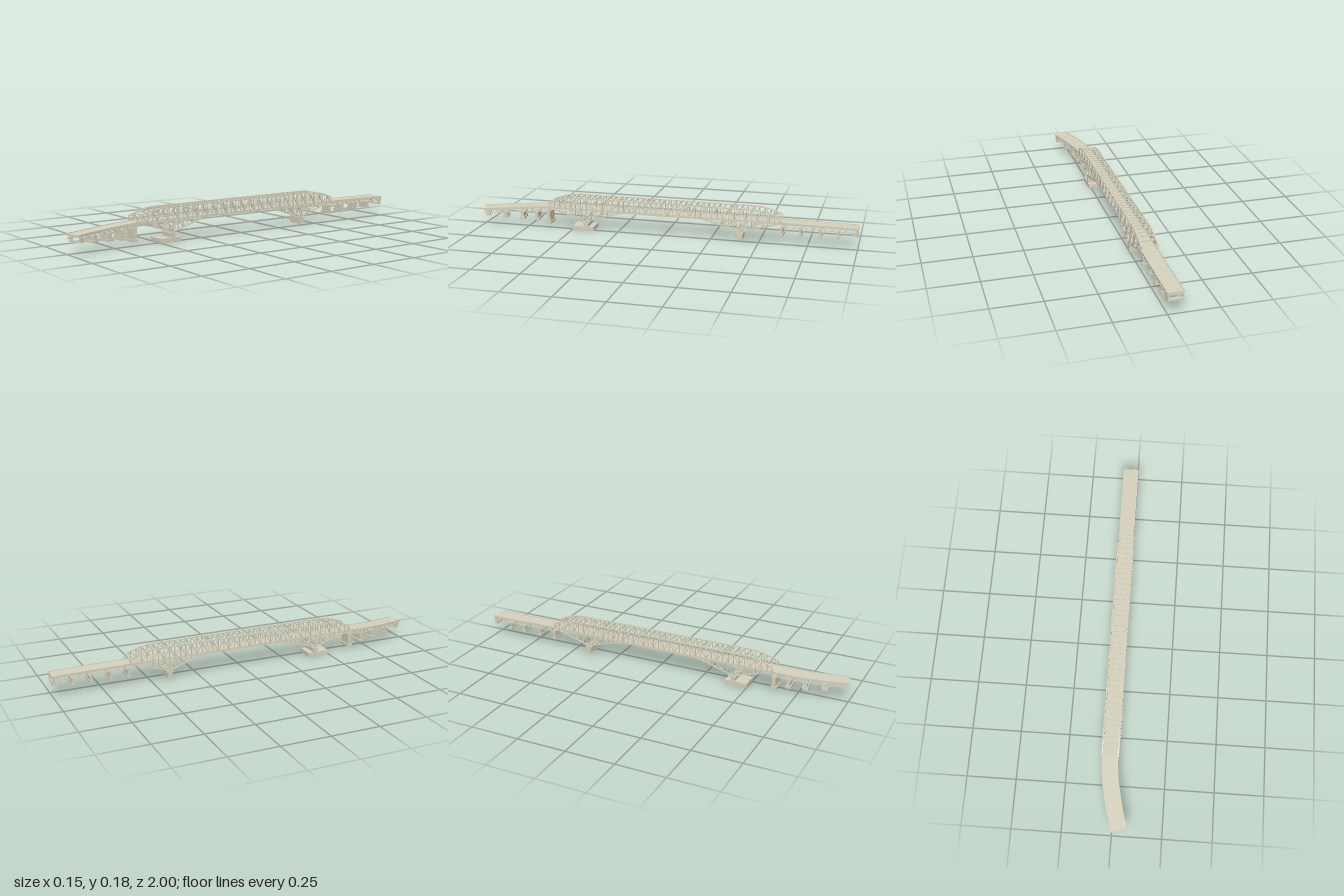
import * as THREE from 'three';
import { mergeGeometries } from 'three/addons/utils/BufferGeometryUtils.js';

const Z0 = -0.61, Z1 = 0.63;          // ends of the main trussed span
const PANELS = 42, STEP = (Z1 - Z0) / PANELS;
const HALF = 0.0405;                  // half width between side trusses
const { lerp, clamp } = THREE.MathUtils;

// Road alignment: straight up to Z1, then a curve to the front end
const curve = new THREE.QuadraticBezierCurve(
  new THREE.Vector2(-0.031, Z1), new THREE.Vector2(-0.031, 0.765), new THREE.Vector2(0.0375, 0.987));

function frame(s) {
  if (s <= Z1) return { x: lerp(-0.036, -0.031, (s + 1) / (Z1 + 1)), z: s, a: 0 };
  const t = (s - Z1) / (1 - Z1), p = curve.getPoint(t), d = curve.getTangent(t);
  return { x: p.x, z: p.y, a: Math.atan2(d.x, d.y) };
}

// Point at station s, sideways offset u, height y
function P(s, u, y) {
  const f = frame(s);
  return new THREE.Vector3(f.x + u * Math.cos(f.a), y, f.z - u * Math.sin(f.a));
}

// Height of the road surface
function road(s) {
  if (s > Z1) return lerp(0.114, 0.098, (s - Z1) / (1 - Z1));
  if (s < Z0) return lerp(0.114, 0.109, (Z0 - s) / (1 + Z0));
  return 0.114;
}

// Top chord: flat with sloping ends
function topY(s) {
  const d = Math.min(s - Z0, Z1 - s);
  if (d < 0.045) return lerp(0.138, 0.156, d / 0.045);
  if (d < 0.1) return lerp(0.156, 0.17, (d - 0.045) / 0.055);
  return lerp(0.17, 0.173, clamp((d - 0.1) / 0.05, 0, 1));
}

// Bottom chord: dips down to each main pier
const PIERS = [Z1 - 7 * STEP, Z0 + 7 * STEP];
function bottomY(s) {
  const d = Math.min(...PIERS.map((p) => Math.abs(s - p)));
  return 0.108 - 0.059 * Math.max(0, 1 - d / (7 * STEP)) ** 1.15;
}

function beam(a, b, w, h = w) {
  const g = new THREE.BoxGeometry(w, h, a.distanceTo(b) + w * 0.5);
  const m = new THREE.Matrix4();
  const up = Math.abs(b.y - a.y) > 0.95 * a.distanceTo(b)
    ? new THREE.Vector3(0, 0, 1) : new THREE.Vector3(0, 1, 0);
  m.lookAt(b, a, up);
  m.setPosition(a.clone().lerp(b, 0.5));
  return g.applyMatrix4(m);
}

// Box strip following the alignment, with its top at road height + lift
function strip(s0, s1, u, width, thick, lift, n) {
  const g = new THREE.BoxGeometry(width, thick, 1, 1, 1, n);
  const pos = g.attributes.position;
  for (let i = 0; i < pos.count; i++) {
    const s = lerp(s0, s1, pos.getZ(i) + 0.5);
    const p = P(s, u + pos.getX(i), road(s) + lift + pos.getY(i) - thick / 2);
    pos.setXYZ(i, p.x, p.y, p.z);
  }
  g.computeVertexNormals();
  return g;
}

// Upright block standing on the alignment at station s
function block(s, u, width, depth, y0, y1) {
  const f = frame(s), c = P(s, u, (y0 + y1) / 2);
  return new THREE.BoxGeometry(width, y1 - y0, depth).rotateY(f.a).translate(c.x, c.y, c.z);
}

export function createModel() {
  const model = new THREE.Group();
  model.name = 'trussBridge';
  const material = new THREE.MeshStandardMaterial({ color: 0xd6d2be, flatShading: true });
  const add = (name, geometries) => {
    const mesh = new THREE.Mesh(mergeGeometries(geometries), material);
    mesh.name = name;
    model.add(mesh);
  };
  const node = (k) => Z0 + k * STEP;

  // Road decks with low kerbs
  const spans = [['back', -1, Z0, 4], ['main', Z0, Z1, 2], ['front', Z1, 1, 16]];
  for (const [name, a, b, n] of spans) {
    add(name + 'Deck', [strip(a, b, 0, 0.08, 0.007, 0, n)]);
    add(name + 'Kerbs', [-1, 1].map((k) => strip(a, b, k * 0.0395, 0.003, 0.009, 0.003, n)));
  }

  // Main side trusses
  for (const [name, side] of [['right', -1], ['left', 1]]) {
    const u = side * HALF, chords = [], web = [], haunch = [];
    for (let k = 0; k <= PANELS; k++) {
      const s = node(k), t = node(k + 1);
      web.push(beam(P(s, u, 0.11), P(s, u, topY(s)), 0.0045));
      const deep = bottomY(s) < 0.104;
      if (deep) haunch.push(beam(P(s, u, bottomY(s)), P(s, u, 0.11), 0.0045));
      if (k === PANELS) break;
      chords.push(beam(P(s, u, topY(s)), P(t, u, topY(t)), 0.006));
      chords.push(beam(P(s, u, 0.11), P(t, u, 0.11), 0.006));
      chords.push(beam(P(s, u, bottomY(s)), P(t, u, bottomY(t)), 0.006));
      const [lo, hi] = k % 2 ? [t, s] : [s, t];
      web.push(beam(P(lo, u, 0.11), P(hi, u, topY(hi)), 0.004));
      if (deep || bottomY(t) < 0.104)
        haunch.push(beam(P(hi, u, bottomY(hi)), P(lo, u, 0.11), 0.004));
    }
    add(name + 'Chords', chords);
    add(name + 'TrussWeb', web);
    add(name + 'HaunchWeb', haunch);
  }

  // Overhead struts between the two trusses
  const struts = [];
  for (let k = 0; k <= PANELS; k++) {
    const s = node(k);
    if (Math.min(k, PANELS - k) < 1) continue;
    struts.push(beam(P(s, -HALF, topY(s)), P(s, HALF, topY(s)), 0.0045));
  }
  add('overheadStruts', struts);

  // Cross beams at the foot of each haunch
  add('haunchCrossBeams', PIERS.map((s) => block(s, 0, 0.084, 0.012, 0.045, 0.052)));

  // Shallow trusses under the approach roads
  for (const [name, a, b, n] of [['back', -1, Z0, 24], ['front', Z1, 1, 24]]) {
    const parts = [];
    for (const u of [-0.0355, 0.0355]) {
      for (let k = 0; k < n; k++) {
        const s = lerp(a, b, k / n), t = lerp(a, b, (k + 1) / n);
        const top = (q) => P(q, u, road(q) - 0.008), low = (q) => P(q, u, road(q) - 0.023);
        parts.push(beam(top(s), top(t), 0.004), beam(low(s), low(t), 0.004));
        parts.push(k % 2 ? beam(top(s), low(t), 0.003) : beam(low(s), top(t), 0.003));
        if (k % 2 === 0) parts.push(beam(low(s), top(s), 0.003));
      }
    }
    for (let k = 0; k <= n; k += 4) {
      const s = lerp(a, b, k / n);
      parts.push(beam(P(s, -0.036, road(s) - 0.01), P(s, 0.036, road(s) - 0.01), 0.004));
    }
    add(name + 'ApproachTrusses', parts);
  }

  // Approach piers: [station, foot height]
  const piers = [[-0.9, 0.05], [-0.81, 0.048], [-0.71, 0.046], [-0.617, 0.044],
    [0.64, 0.02], [0.728, 0.036], [0.815, 0.041], [0.905, 0.047]];
  piers.forEach(([s, y], i) => {
    const top = road(s) - 0.024, front = s > 0;
    add('approachPier' + (i + 1), [
      block(s, 0, 0.077, front ? 0.03 : 0.018, y, y + 0.011),
      block(s, 0, 0.068, front ? 0.018 : 0.01, y + 0.01, top - 0.005),
      block(s, 0, 0.077, front ? 0.024 : 0.016, top - 0.007, top),
    ]);
  });

  // End bents: two legs on a footing
  for (const [name, s, y] of [['back', -0.991, 0.065], ['front', 0.984, 0.06]]) {
    const top = road(s) - 0.007;
    add(name + 'EndBent', [
      block(s, 0, 0.078, 0.018, y, y + 0.009),
      block(s, -0.032, 0.013, 0.012, y + 0.008, top),
      block(s, 0.032, 0.013, 0.012, y + 0.008, top),
    ]);
  }

  // Main piers
  add('frontMainPier', [
    block(PIERS[0] + 0.018, 0, 0.09, 0.118, 0, 0.021),
    block(PIERS[0], 0, 0.086, 0.024, 0.02, 0.037),
    block(PIERS[0], 0, 0.086, 0.034, 0.037, 0.045),
  ]);
  add('backMainPier', [
    block(PIERS[1], 0, 0.086, 0.024, 0.008, 0.036),
    block(PIERS[1], 0, 0.086, 0.034, 0.036, 0.045),
  ]);

  return model;
}
